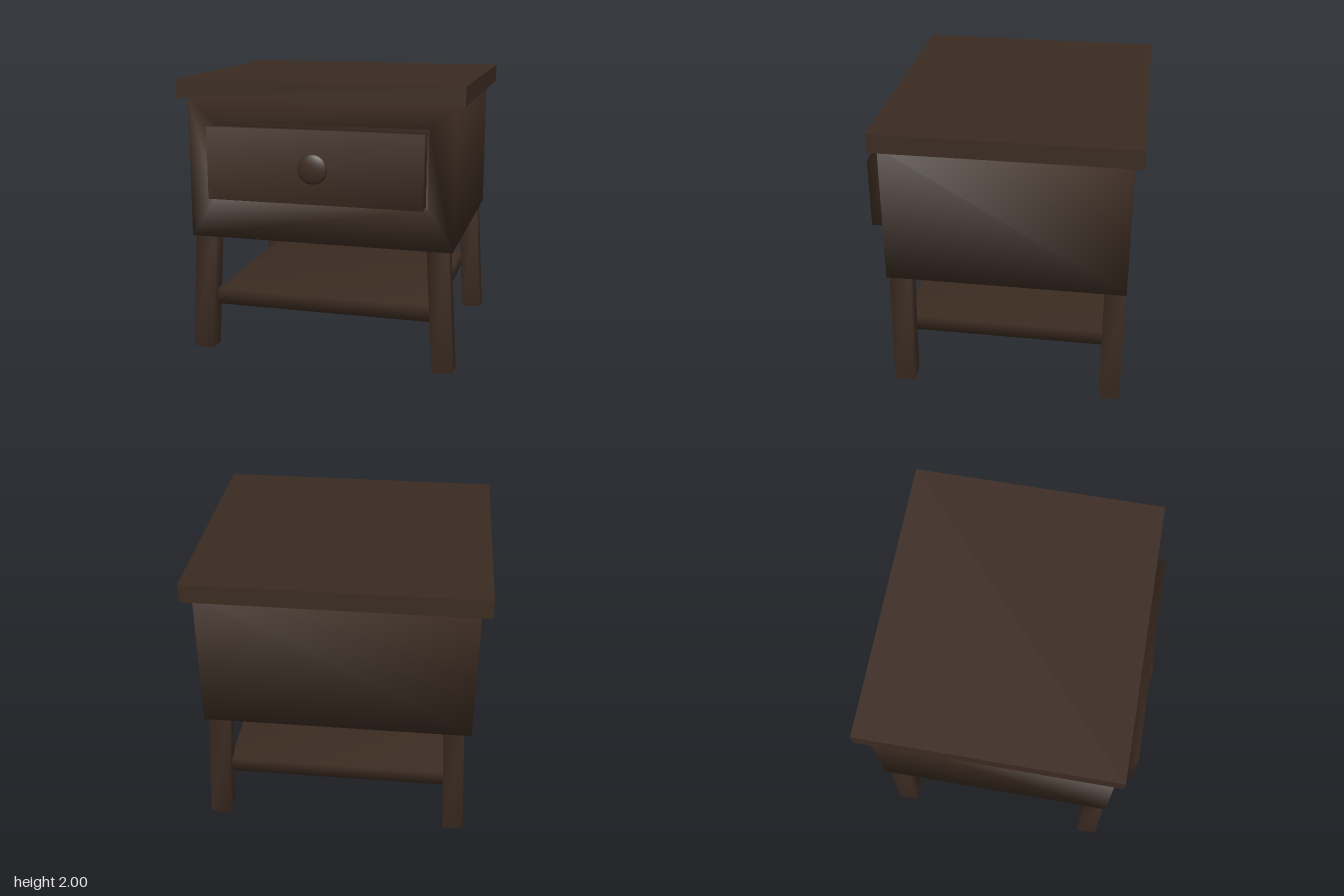
import * as THREE from 'three';
import { mergeVertices } from 'three/addons/utils/BufferGeometryUtils.js';

// Shared corners give each block one soft normal per corner
function smooth(geometry) {
  geometry.deleteAttribute('normal');
  geometry.deleteAttribute('uv');
  const merged = mergeVertices(geometry);
  merged.computeVertexNormals();
  return merged;
}

function block(x0, x1, y0, y1, z0, z1) {
  const g = new THREE.BoxGeometry(x1 - x0, y1 - y0, z1 - z0);
  return g.translate((x0 + x1) / 2, (y0 + y1) / 2, (z0 + z1) / 2);
}

// Closed box with a rectangular recess in its front
function cabinetGeometry() {
  const loop = (x0, x1, y0, y1, z) => [x0, y0, z, x1, y0, z, x1, y1, z, x0, y1, z];
  const loops = [
    loop(-0.935, 0.932, 0.885, 1.88, -0.885),
    loop(-0.935, 0.932, 0.885, 1.88, 0.78),
    loop(-0.763, 0.76, 1.163, 1.71, 0.78),
    loop(-0.763, 0.76, 1.163, 1.71, 0.7),
  ];
  const index = [0, 2, 1, 0, 3, 2];
  for (let l = 0; l < 3; l++) {
    for (let i = 0; i < 4; i++) {
      const j = (i + 1) % 4, a = l * 4, b = a + 4;
      index.push(a + i, a + j, b + j, a + i, b + j, b + i);
    }
  }
  index.push(12, 13, 14, 12, 14, 15);
  const g = new THREE.BufferGeometry();
  g.setAttribute('position', new THREE.Float32BufferAttribute(loops.flat(), 3));
  g.setIndex(index);
  g.computeVertexNormals();
  return g;
}

// Square leg splayed sideways, its foot cut square to its slope
function legGeometry(topX, footX, footY, z) {
  const topY = 0.92, w = 0.146;
  const g = new THREE.BoxGeometry(w, 1, w);
  const p = g.attributes.position;
  const slope = (footX - topX) / (topY - footY);
  for (let i = 0; i < p.count; i++) {
    const up = p.getY(i) > 0;
    const x = p.getX(i);
    p.setXYZ(i, x + (up ? topX : footX), up ? topY : footY + x * slope, p.getZ(i) + z);
  }
  return smooth(g);
}

export function createModel() {
  const model = new THREE.Group();
  model.name = 'bedsideTable';
  const wood = new THREE.MeshStandardMaterial({ color: 0x3b2b21 });
  wood.name = 'darkWood';

  const add = (name, geometry) => {
    const mesh = new THREE.Mesh(geometry, wood);
    mesh.name = name;
    model.add(mesh);
    return mesh;
  };

  // Top and cabinet
  add('tableTop', block(-1, 1, 1.87, 2, -0.945, 0.828));
  add('cabinet', cabinetGeometry());

  // Drawer with a flattened round knob
  add('drawerFront', smooth(block(-0.75, 0.748, 1.19, 1.688, 0.79, 0.91)));
  const knob = add('drawerKnob', new THREE.SphereGeometry(0.104, 32, 16));
  knob.scale.z = 0.33;
  knob.position.set(0, 1.433, 0.91);

  // Legs: one front leg stands slightly further out
  add('frontLeftLeg', legGeometry(0.825, 0.878, 0.015, 0.692));
  add('backLeftLeg', legGeometry(0.825, 0.878, 0.004, -0.807));
  add('frontRightLeg', legGeometry(-0.84, -0.888, 0.036, 0.692));
  add('backRightLeg', legGeometry(-0.81, -0.858, 0.012, -0.807));

  // Lower shelf
  add('shelf', smooth(block(-0.795, 0.785, 0.355, 0.468, -0.8, 0.69)));

  return model;
}
